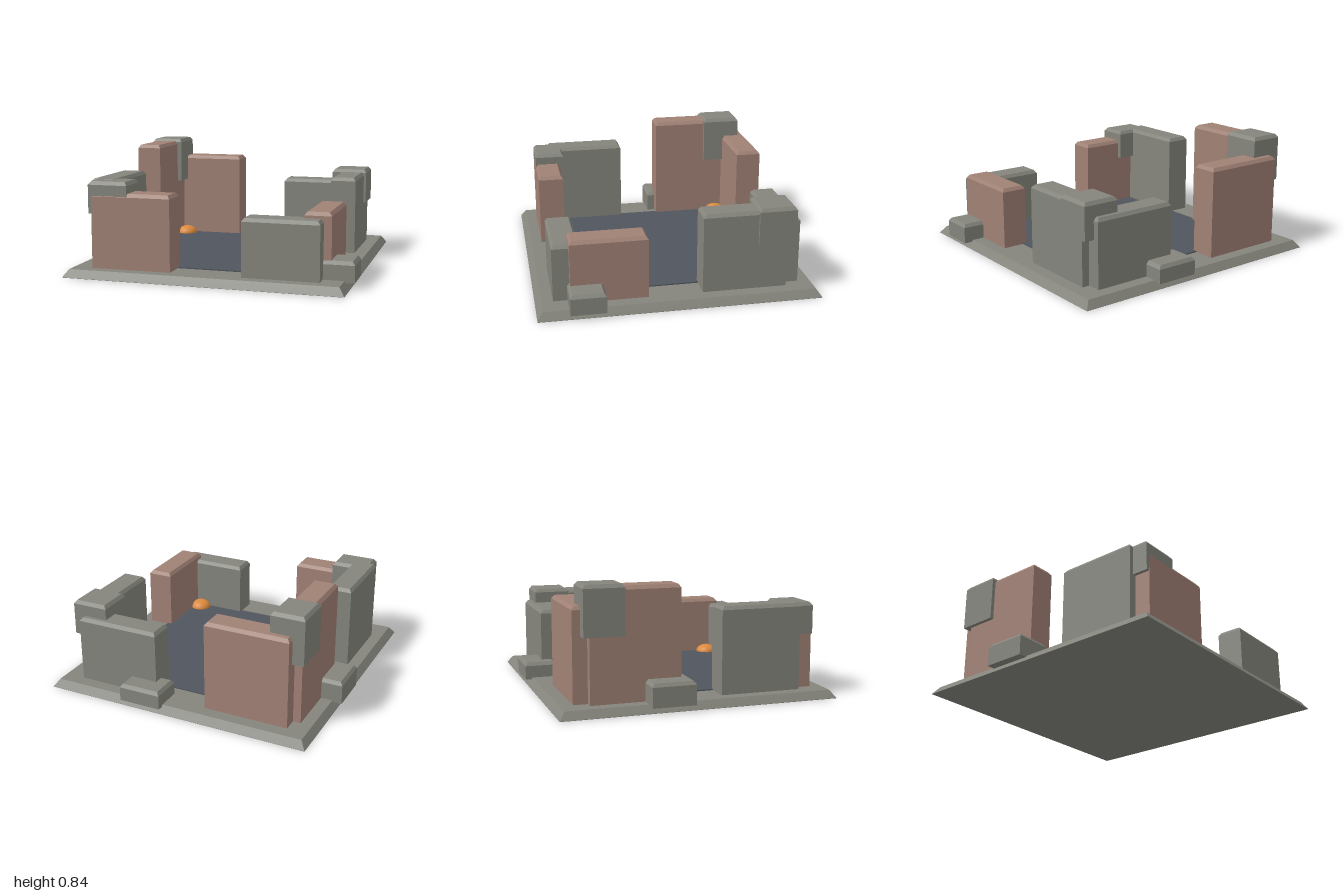
import * as THREE from 'three';

const stone = new THREE.MeshStandardMaterial({ color: 0x85857d, flatShading: true });
const brick = new THREE.MeshStandardMaterial({ color: 0xa08175, flatShading: true });
const slate = new THREE.MeshStandardMaterial({ color: 0x51565e, flatShading: true });
const amber = new THREE.MeshStandardMaterial({ color: 0xdb8a3e });
stone.name = 'stone';
brick.name = 'clay brick';
slate.name = 'slate floor';
amber.name = 'amber ember';

// Block given by its limits, with the top edges bevelled inwards
function block(name, material, [x0, x1], [y0, y1], [z0, z1], inset = 0.018, drop = 0.024) {
  const w = x1 - x0, h = y1 - y0, d = z1 - z0;
  const geo = new THREE.BoxGeometry(w, h, d, 1, 2, 1);
  const p = geo.attributes.position;
  for (let i = 0; i < p.count; i++) {
    const y = p.getY(i);
    if (Math.abs(y) < 1e-6) {
      p.setY(i, h / 2 - drop);
    } else if (y > 0) {
      p.setX(i, p.getX(i) - Math.sign(p.getX(i)) * inset);
      p.setZ(i, p.getZ(i) - Math.sign(p.getZ(i)) * inset);
    }
  }
  const flat = geo.toNonIndexed();
  flat.computeVertexNormals();
  const mesh = new THREE.Mesh(flat, material);
  mesh.name = name;
  mesh.position.set((x0 + x1) / 2, (y0 + y1) / 2, (z0 + z1) / 2);
  return mesh;
}

export function createModel() {
  const model = new THREE.Group();
  model.name = 'ruinedRoom';

  // Sloped plinth and inner floor
  model.add(block('plinth', stone, [-0.97, 0.97], [0, 0.055], [-0.965, 0.97], 0.038, 0.053));
  const floor = new THREE.Mesh(new THREE.BoxGeometry(1.385, 0.03, 1.385), slate);
  floor.name = 'floor';
  floor.position.set(0, 0.048, 0.005);
  model.add(floor);

  // Broken walls, two per corner: name, material, x limits, top, z limits
  const base = 0.055;
  const walls = [
    ['backWallRight', brick, [-0.795, -0.19], 0.695, [-0.84, -0.66]],
    ['backWallLeft', stone, [0.185, 0.79], 0.53, [-0.84, -0.66]],
    ['rightWallBack', brick, [-0.85, -0.67], 0.82, [-0.74, -0.12]],
    ['rightWallFront', stone, [-0.85, -0.67], 0.655, [0.17, 0.74]],
    ['leftWallBack', stone, [0.66, 0.843], 0.612, [-0.74, -0.155]],
    ['leftWallFront', brick, [0.66, 0.843], 0.493, [0.215, 0.74]],
    ['frontWallRight', brick, [-0.795, -0.23], 0.575, [0.67, 0.853]],
    ['frontWallLeft', stone, [0.265, 0.79], 0.45, [0.67, 0.853]],
  ];
  for (const [name, mat, x, top, z] of walls) model.add(block(name, mat, x, [base, top], z));

  // Capstones on three corners, and fallen stones at the plinth edge
  const stones = [
    ['backRightCapstone', [-0.877, -0.637], [0.5, 0.838], [-0.785, -0.508]],
    ['backLeftCapstone', [0.6, 0.86], [0.38, 0.633], [-0.795, -0.535]],
    ['frontRightCapstone', [-0.818, -0.537], [0.432, 0.653], [0.635, 0.851]],
    ['fallenStoneLeft', [0.755, 1], [0.042, 0.182], [0.517, 0.757]],
    ['fallenStoneRight', [-1, -0.757], [0.042, 0.203], [-0.367, -0.065]],
    ['fallenStoneBack', [0.09, 0.395], [0.042, 0.165], [-0.978, -0.757]],
  ];
  for (const [name, x, y, z] of stones) model.add(block(name, stone, x, y, z));

  // Glowing domes in opposite corners
  for (const [x, z] of [[-0.625, -0.605], [0.61, 0.63]]) {
    const ember = new THREE.Mesh(new THREE.SphereGeometry(0.08, 24, 16), amber);
    ember.name = 'ember';
    ember.scale.y = 0.7;
    ember.position.set(x, 0.062, z);
    model.add(ember);
  }
  return model;
}
